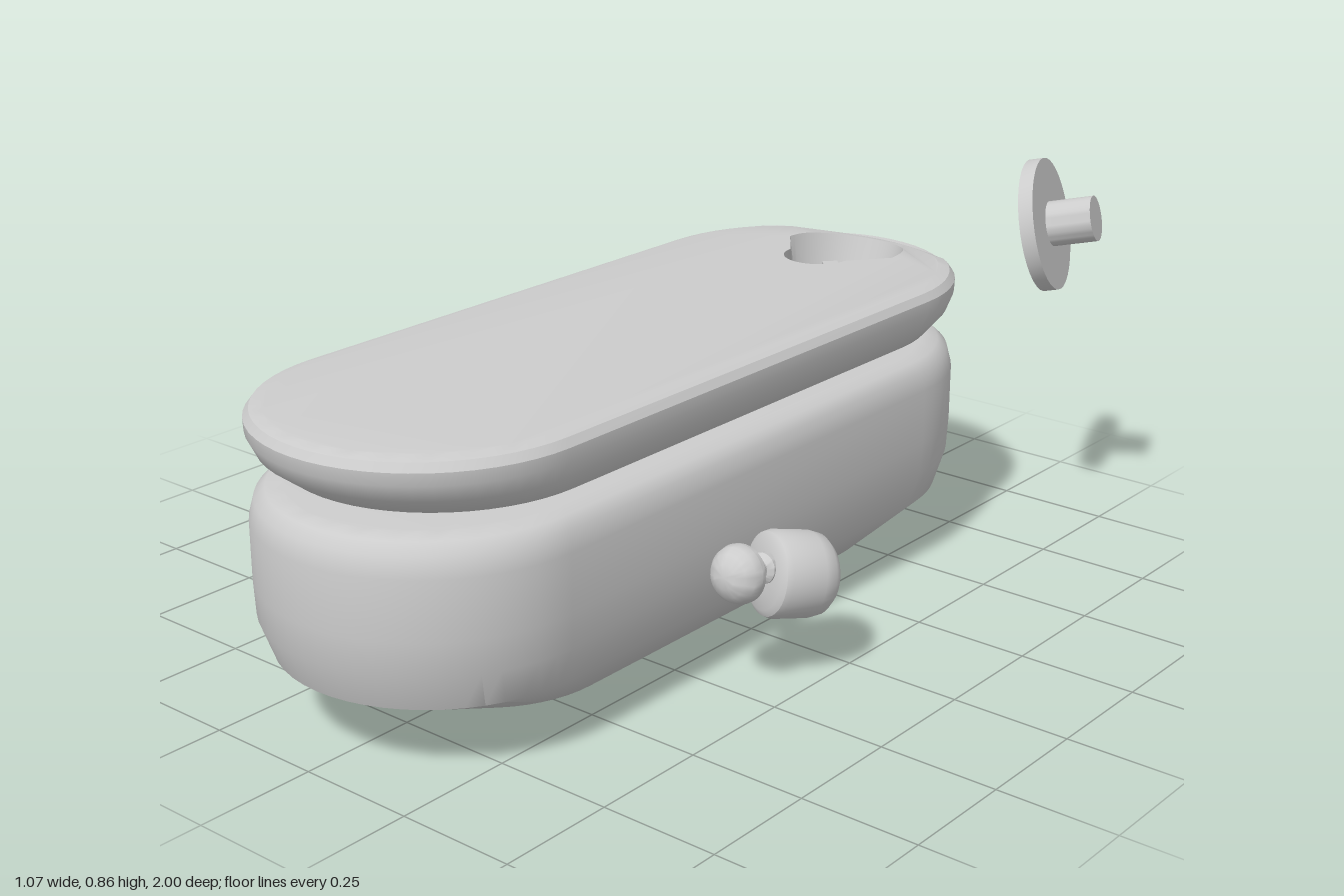
import * as THREE from 'three';
import { mergeGeometries, toCreasedNormals } from 'three/addons/utils/BufferGeometryUtils.js';

const material = new THREE.MeshStandardMaterial({ color: 0xcccccc, side: THREE.DoubleSide });
const ARC = 28; // segments per half outline

function addMesh(parent, name, geometry) {
  const mesh = new THREE.Mesh(geometry, material);
  mesh.name = name;
  parent.add(mesh);
  return mesh;
}

// Outline of two half arcs (front then back), as [x, z] pairs
function outline(frontR, frontZ, backR, backZ) {
  const points = [];
  for (const [start, r, z] of [[0, frontR, frontZ], [Math.PI, backR, backZ]]) {
    for (let i = 0; i <= ARC; i++) {
      const t = start + (Math.PI * i) / ARC;
      points.push([r * Math.cos(t), z + r * Math.sin(t)]);
    }
  }
  return points;
}

// Stadium of the given half width and half length
function stadium(hx, hz) {
  return outline(0.345, 0.565, 0.345, -0.565)
    .map(([x, z]) => [(x * hx) / 0.345, 0.09 + (z * hz) / 0.91]);
}

// Skin between outlines given as { y, points }
function loft(rings) {
  const n = rings[0].points.length;
  const positions = [];
  const index = [];
  rings.forEach(({ y, points }) => points.forEach(([x, z]) => positions.push(x, y, z)));
  for (let r = 0; r < rings.length - 1; r++) {
    for (let i = 0; i < n; i++) {
      const a = r * n + i;
      const b = r * n + ((i + 1) % n);
      index.push(a, a + n, b, b, a + n, b + n);
    }
  }
  const geometry = new THREE.BufferGeometry();
  geometry.setAttribute('position', new THREE.Float32BufferAttribute(positions, 3));
  geometry.setIndex(index);
  return geometry;
}

const stadiumLoft = (profile) =>
  loft(profile.map(([hx, hz, y]) => ({ y, points: stadium(hx, hz) })));

// Flat top cap with an optional hole
function cap(points, y, hole) {
  const toVectors = (list) => list.map(([x, z]) => new THREE.Vector2(x, -z));
  const shape = new THREE.Shape(toVectors(points));
  if (hole) shape.holes.push(new THREE.Path(toVectors(hole)));
  return new THREE.ShapeGeometry(shape).rotateX(-Math.PI / 2).translate(0, y, 0);
}

// Join pieces by position only, then smooth with sharp edges kept
function finish(pieces, crease = 0.6) {
  const bare = pieces.map((piece) => {
    const g = piece.toNonIndexed();
    g.deleteAttribute('uv');
    g.deleteAttribute('normal');
    return g;
  });
  return toCreasedNormals(mergeGeometries(bare), crease);
}

// Bend the back rim of the lid into a shallow lip
function bendLip(geometry) {
  const p = geometry.attributes.position;
  for (let i = 0; i < p.count; i++) {
    const y = p.getY(i);
    const z = p.getZ(i);
    const w = THREE.MathUtils.smoothstep(-z, 0.66, 0.83);
    const side = 1 - THREE.MathUtils.smoothstep(Math.abs(p.getX(i)), 0.16, 0.26);
    p.setY(i, y + w * side * (y > 0.6 ? -0.022 : 0.025));
    p.setZ(i, z - 0.014 * w * side);
  }
  return geometry;
}

function createBody() {
  return finish([
    stadiumLoft([
      [0.0001, 0.0001, 0.003], [0.245, 0.66, 0.063], [0.325, 0.88, 0.155], [0.342, 0.907, 0.23],
      [0.345, 0.91, 0.3], [0.345, 0.91, 0.42], [0.336, 0.9, 0.46], [0.318, 0.88, 0.48], [0.29, 0.85, 0.487],
    ]),
    cap(stadium(0.29, 0.85), 0.487),
  ], 0.7);
}

function createLid() {
  const hole = outline(0.075, -0.55, 0.14, -0.635);
  const bowl = outline(0.118, -0.63, 0.118, -0.63);
  return finish([
    bendLip(stadiumLoft([
      [0.0001, 0.0001, 0.494], [0.27, 0.66, 0.497], [0.312, 0.84, 0.522], [0.336, 0.89, 0.56],
      [0.345, 0.908, 0.595], [0.345, 0.91, 0.62], [0.334, 0.9, 0.636], [0.312, 0.88, 0.643],
    ])),
    bendLip(cap(stadium(0.312, 0.88), 0.643, hole)),
    bendLip(loft([{ y: 0.643, points: hole }, { y: 0.53, points: bowl }])),
  ]);
}

// Toothed socket at the bottom of the lid opening
function createSocket() {
  const socket = new THREE.Group();
  socket.name = 'socket';
  socket.position.set(0, 0, -0.63);
  addMesh(socket, 'socketFloor', new THREE.CylinderGeometry(0.118, 0.105, 0.043, 40)).position.y = 0.509;
  for (let i = 0; i < 8; i++) {
    const arm = new THREE.Group();
    arm.name = 'toothArm';
    arm.rotation.y = (i * Math.PI) / 4;
    addMesh(arm, 'tooth', new THREE.BoxGeometry(0.036, 0.05, 0.036)).position.set(0, 0.552, 0.1);
    addMesh(arm, 'toothRib', new THREE.BoxGeometry(0.014, 0.02, 0.03)).position.set(0, 0.538, 0.07);
    socket.add(arm);
  }
  return socket;
}

// Turned part, aimed so its profile axis follows a direction
function turned(parent, name, profile, position, direction) {
  const points = profile.map(([r, y]) => new THREE.Vector2(r, y));
  const geometry = toCreasedNormals(new THREE.LatheGeometry(points, 36), 0.6);
  const mesh = addMesh(parent, name, geometry);
  mesh.position.set(...position);
  mesh.quaternion.setFromUnitVectors(new THREE.Vector3(0, 1, 0), new THREE.Vector3(...direction).normalize());
  return mesh;
}

// Side knob: rounded drum with a mushroom stud in front
function createSideKnob(side) {
  const knob = new THREE.Group();
  knob.name = side > 0 ? 'leftKnob' : 'rightKnob';
  turned(knob, 'drum', [
    [0, -0.075], [0.04, -0.074], [0.066, -0.066], [0.081, -0.05], [0.087, -0.025], [0.088, 0.05],
    [0.084, 0.062], [0.072, 0.07], [0.03, 0.073], [0, 0.073],
  ], [side * 0.441, 0.222, 0.115], [side * -0.42, 0.18, 0.89]);
  turned(knob, 'stud', [
    [0, -0.1], [0.03, -0.095], [0.031, -0.072], [0.02, -0.062], [0.02, -0.042], [0.028, -0.036],
    [0.048, -0.022], [0.058, -0.008], [0.059, 0.002], [0.054, 0.02], [0.042, 0.036], [0.024, 0.047], [0, 0.051],
  ], [side * 0.425, 0.27, 0.27], [0, 0.18, 1]);
  return knob;
}

export function createModel() {
  const model = new THREE.Group();
  model.name = 'roundedCase';
  addMesh(model, 'body', createBody());
  addMesh(model, 'lid', createLid());
  model.add(createSocket(), createSideKnob(1), createSideKnob(-1));

  // Loose plug floating beside the opening
  turned(model, 'plug', [
    [0, -0.016], [0.146, -0.016], [0.146, 0.016], [0.05, 0.016], [0.05, 0.115], [0, 0.115],
  ], [0.393, 0.717, -0.857], [1, 0.24, -0.31]);
  return model;
}
